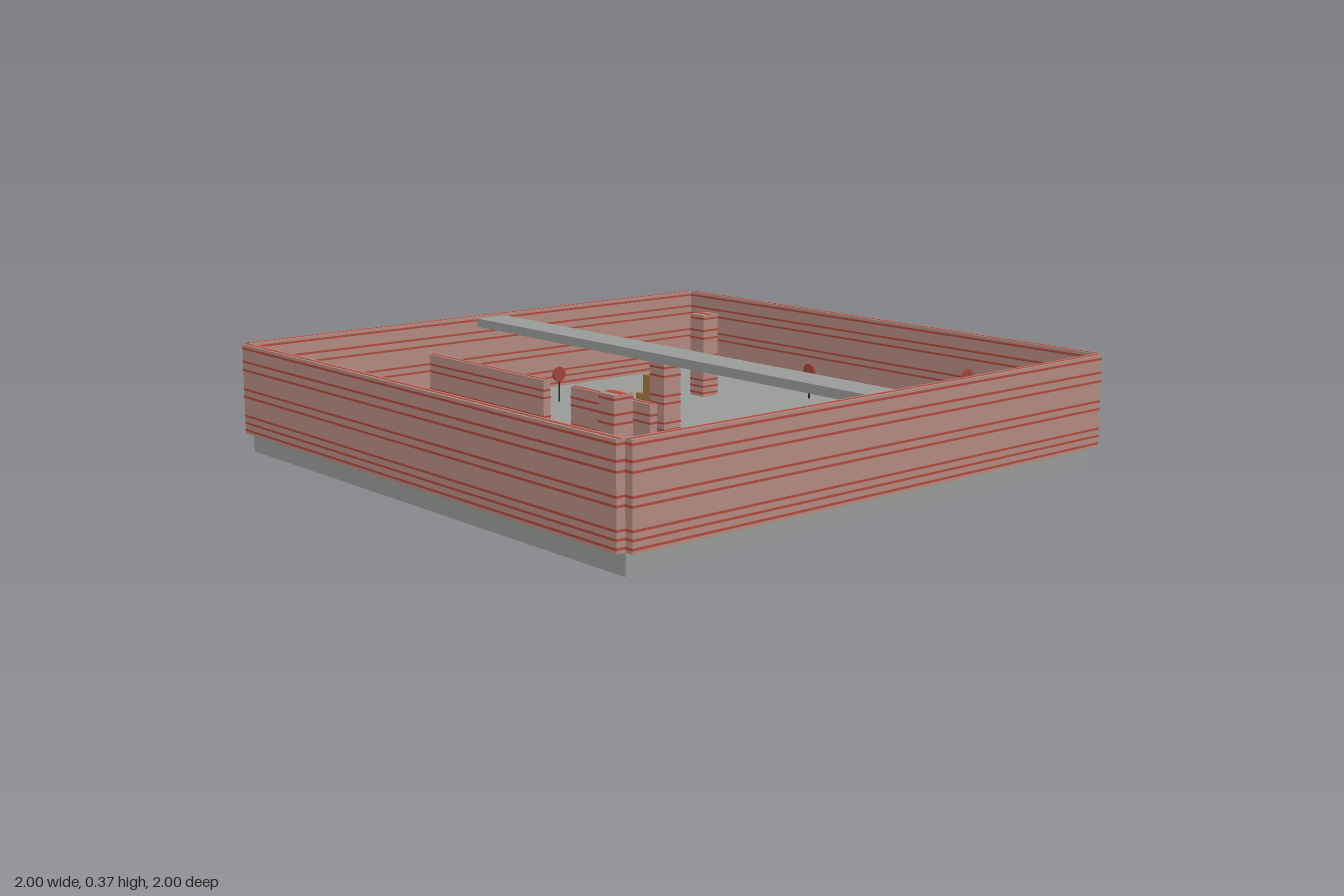
import * as THREE from 'three';

const paint = (name, color) => {
  const m = new THREE.MeshStandardMaterial({ color });
  m.name = name;
  return m;
};

export function createModel() {
  const arena = new THREE.Group();
  arena.name = 'arena';
  const concrete = paint('concrete grey', 0x9a9c9a);
  const brick = paint('brick pink', 0xb58c81);
  const brickRed = paint('brick red', 0xb04a40);
  const wood = paint('crate wood', 0xa67845);
  const red = paint('target red', 0xa0453d);
  const dark = paint('post dark', 0x2b2626);

  const FLOOR = 0.065, TOP = 0.365, DECK = 0.2;

  // Box given by its limits on each axis
  const box = (name, mat, [x0, x1], [y0, y1], [z0, z1], parent = arena) => {
    const mesh = new THREE.Mesh(new THREE.BoxGeometry(x1 - x0, y1 - y0, z1 - z0), mat);
    mesh.position.set((x0 + x1) / 2, (y0 + y1) / 2, (z0 + z1) / 2);
    mesh.name = name;
    parent.add(mesh);
  };
  // Limits of a span about a centre, and a span grown or shrunk at both ends
  const about = (c, size) => [c - size / 2, c + size / 2];
  const grow = ([a, b], d) => [a - d, b + d];

  // Square block standing on a given height
  const block = (name, mat, x, z, size, height, base = FLOOR) =>
    box(name, mat, about(x, size), [base, base + height], about(z, size));

  // Masonry with thin red courses around it and a red line along its top
  const COURSES = [0.078, 0.102, 0.126, 0.19, 0.215, 0.28, 0.308, 0.352];
  const masonry = (name, x, top, z) => {
    const group = new THREE.Group();
    group.name = name;
    arena.add(group);
    box('masonryBody', brick, x, [FLOOR, top], z, group);
    for (const y of COURSES) {
      if (y < top - 0.01) box('brickCourse', brickRed, grow(x, 0.001), about(y, 0.007), grow(z, 0.001), group);
    }
    const wide = x[1] - x[0], deep = z[1] - z[0], inset = -0.33 * Math.min(wide, deep);
    box('topCourse', brickRed, wide < deep ? grow(x, inset) : x, [top, top + 0.001],
      wide < deep ? z : grow(z, inset), group);
  };

  // Floor slab and outer walls, which leave the corners open
  const long = [-0.97, 0.97];
  box('floor', concrete, long, [0, FLOOR], long);
  masonry('frontWall', long, TOP, [0.97, 0.999]);
  masonry('backWall', long, TOP, [-0.999, -0.97]);
  masonry('leftWall', [0.97, 0.999], TOP, long);
  masonry('rightWall', [-0.999, -0.97], TOP, long);

  // Low inner walls
  masonry('innerWallLong', [-0.97, -0.302], 0.25, [0.24, 0.268]);
  masonry('innerWallShort', [-0.155, 0.24], 0.25, [0.24, 0.268]);

  // Pillars; the middle one carries the bridge
  masonry('backPillar', about(-0.49, 0.07), TOP, about(-0.61, 0.07));
  masonry('frontPillar', about(0.48, 0.07), TOP, about(0.6, 0.07));
  masonry('middlePillar', about(0, 0.07), 0.33, about(0, 0.07));
  box('bridge', concrete, long, [0.328, 0.358], [-0.065, 0.06]);

  // Raised deck, open underneath
  box('deck', concrete, [0.545, 0.97], [DECK - 0.02, DECK], [-0.97, -0.247]);

  // Solid stairs as one stepped profile, ending just below the deck
  const steps = 8, run = 0.485 / steps, rise = (DECK - 0.008 - FLOOR) / steps;
  const profile = new THREE.Shape();
  profile.moveTo(0, 0);
  for (let i = 0; i < steps; i++) {
    profile.lineTo(i * run, (i + 1) * rise);
    profile.lineTo((i + 1) * run, (i + 1) * rise);
  }
  profile.lineTo(steps * run, 0);
  const stairs = new THREE.Mesh(
    new THREE.ExtrudeGeometry(profile, { depth: 0.12, bevelEnabled: false }), concrete);
  stairs.position.set(0.06, FLOOR, -0.367);
  stairs.name = 'stairs';
  arena.add(stairs);

  // Crates: three single ones and a small stack
  block('crate', wood, 0.3, 0.36, 0.085, 0.085);
  block('crate', wood, -0.61, 0.54, 0.095, 0.095);
  block('crate', wood, 0.483, -0.55, 0.07, 0.07);
  block('stackCrate', wood, -0.364, -0.245, 0.072, 0.07);
  block('stackCrate', wood, -0.292, -0.245, 0.072, 0.07);
  block('stackCrateTop', wood, -0.328, -0.245, 0.07, 0.07, FLOOR + 0.07);

  // Round targets on thin posts: x, z, base height, faces sideways
  const discGeo = new THREE.CylinderGeometry(0.027, 0.027, 0.008, 20).rotateX(Math.PI / 2);
  const postGeo = new THREE.CylinderGeometry(0.003, 0.003, 0.08, 8);
  const targets = [
    [-0.185, -0.85, FLOOR, false], [0.36, -0.73, FLOOR, false],
    [-0.185, -0.185, FLOOR, false], [0.48, 0.785, FLOOR, false],
    [0.753, -0.61, DECK, true], [-0.73, -0.125, FLOOR, true],
    [-0.73, 0.72, FLOOR, true], [0.73, 0, FLOOR, true],
  ];
  for (const [x, z, base, sideways] of targets) {
    const target = new THREE.Group();
    target.name = 'target';
    const post = new THREE.Mesh(postGeo, dark);
    post.name = 'targetPost';
    post.position.y = 0.04;
    const disc = new THREE.Mesh(discGeo, red);
    disc.name = 'targetDisc';
    disc.position.y = 0.1;
    target.add(post, disc);
    target.position.set(x, base, z);
    if (sideways) target.rotation.y = Math.PI / 2;
    arena.add(target);
  }

  return arena;
}
